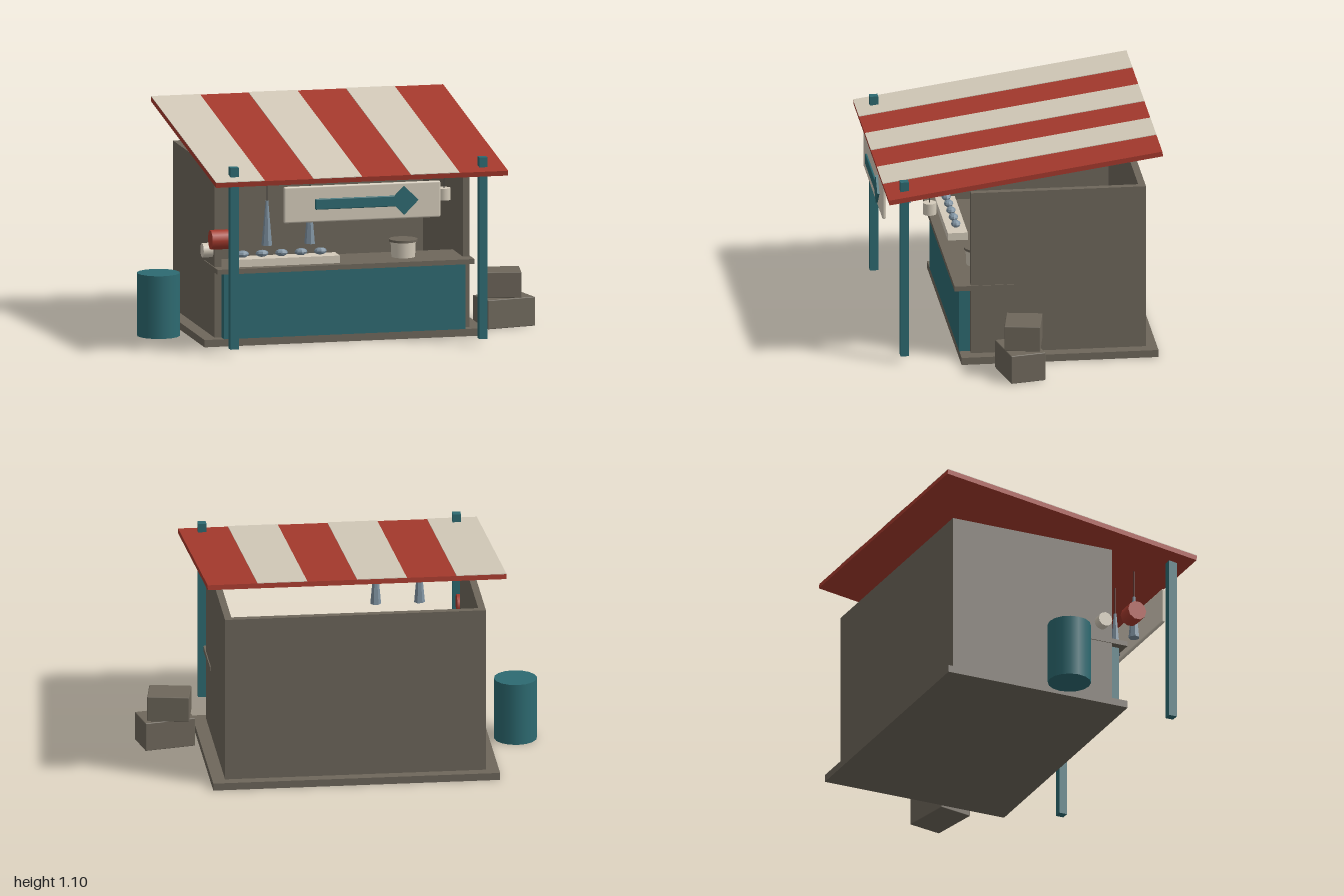
import * as THREE from 'three';
import { RoundedBoxGeometry } from 'three/addons/geometries/RoundedBoxGeometry.js';

const mat = (name, color, flatShading = false) => {
  const m = new THREE.MeshStandardMaterial({ color });
  m.name = name;
  m.flatShading = flatShading;
  return m;
};

export function createModel() {
  const wood = mat('weathered wood', 0x6e675b);
  const teal = mat('teal paint', 0x2d6a71);
  const red = mat('red canvas', 0xa63a2d);
  const cream = mat('cream', 0xd4cbba);
  const steel = mat('blue grey', 0x7f92a1, true);
  const dark = mat('dark cord', 0x45423d);

  const model = new THREE.Group();
  model.name = 'marketStall';

  const add = (name, geometry, material, x, y, z, parent = model) => {
    const mesh = new THREE.Mesh(geometry, material);
    mesh.name = name;
    mesh.position.set(x, y, z);
    parent.add(mesh);
    return mesh;
  };
  // Box given by its limits on each axis
  const span = (name, material, [x0, x1], [y0, y1], [z0, z1], parent = model) =>
    add(name, new THREE.BoxGeometry(x1 - x0, y1 - y0, z1 - z0), material,
      (x0 + x1) / 2, (y0 + y1) / 2, (z0 + z1) / 2, parent);
  const cyl = (rTop, rBottom, h, sides) => new THREE.CylinderGeometry(rTop, rBottom, h, sides);

  // Floor and three walls, open at the front and top
  span('floor', wood, [-0.75, 0.69], [0, 0.037], [-0.67, 0.32]);
  span('backWall', wood, [-0.685, 0.625], [0.037, 0.885], [-0.615, -0.58]);
  span('rightWall', wood, [-0.685, -0.65], [0.037, 0.885], [-0.58, 0.265]);
  span('leftWall', wood, [0.59, 0.625], [0.037, 0.885], [-0.58, 0.265]);

  // Counter
  span('counterFront', teal, [-0.65, 0.59], [0.037, 0.37], [0.25, 0.32]);
  span('counterTop', wood, [-0.69, 0.63], [0.37, 0.395], [0.05, 0.348]);

  // Awning posts
  for (const x of [-0.668, 0.61]) {
    span('frontPost', teal, [x - 0.021, x + 0.021], [0.037, 0.958], [0.578, 0.62]);
  }

  // Sloping striped awning
  const awning = new THREE.Group();
  awning.name = 'awning';
  awning.position.set(-0.03, 0.986, 0);
  awning.rotation.x = 0.1456;
  model.add(awning);
  span('awningSlab', red, [-0.75, 0.75], [-0.0125, 0.0125], [-0.695, 0.695], awning);
  for (let i = 0; i < 3; i++) {
    const x = -0.75 + i * 0.5;
    span('awningStripe', cream, [x, x + 0.25], [0.0125, 0.0155], [-0.695, 0.695], awning);
  }

  // Sign board with a raised pointer
  add('signBoard', new RoundedBoxGeometry(0.805, 0.185, 0.02, 2, 0.009), cream, -0.027, 0.768, 0.671);
  add('signBar', new RoundedBoxGeometry(0.42, 0.055, 0.012, 2, 0.005), teal, -0.06, 0.768, 0.685);
  add('signDiamond', new THREE.BoxGeometry(0.103, 0.103, 0.012), teal, 0.186, 0.77, 0.686).rotation.z = Math.PI / 4;

  // Goods hanging from the awning
  const cord = (x, y, z) => span('cord', dark, [x - 0.002, x + 0.002], [y, 0.908], [z - 0.002, z + 0.002]);
  for (const x of [-0.47, -0.25]) {
    add('hangingCone', cyl(0.007, 0.028, 0.225, 7), steel, x, 0.648, 0.488);
    cord(x, 0.76, 0.488);
  }
  add('hangingCup', cyl(0.034, 0.034, 0.06, 12), cream, 0.447, 0.752, 0.452);
  cord(0.447, 0.78, 0.452);

  // Tray with five pieces of food
  span('tray', cream, [-0.595, -0.05], [0.395, 0.433], [0.2, 0.3]);
  for (let i = 0; i < 5; i++) {
    add('food', new THREE.SphereGeometry(1, 8, 6), steel, -0.538 + i * 0.1, 0.452, 0.25)
      .scale.set(0.033, 0.018, 0.024);
  }

  // Lidded pot
  add('pot', cyl(0.064, 0.06, 0.08, 16), cream, 0.302, 0.435, 0.19);
  add('potLid', cyl(0.072, 0.072, 0.012, 16), wood, 0.302, 0.479, 0.19);

  // Round fittings at the right-hand wall
  add('redDrum', cyl(0.05, 0.05, 0.09, 10), red, -0.69, 0.555, 0.38).rotation.z = Math.PI / 2;
  add('creamDisc', cyl(0.037, 0.037, 0.05, 12), cream, -0.71, 0.472, 0.205).rotation.z = Math.PI / 2;

  // Barrel
  add('barrel', cyl(0.108, 0.108, 0.318, 16), teal, -0.892, 0.159, -0.07);

  // Two stacked crates, turned opposite ways
  add('lowerCrate', new RoundedBoxGeometry(0.26, 0.147, 0.18, 1, 0.004), wood, 0.855, 0.0735, 0.045).rotation.y = 0.2;
  add('upperCrate', new RoundedBoxGeometry(0.21, 0.13, 0.18, 1, 0.004), wood, 0.836, 0.214, 0.027).rotation.y = -0.17;

  return model;
}
